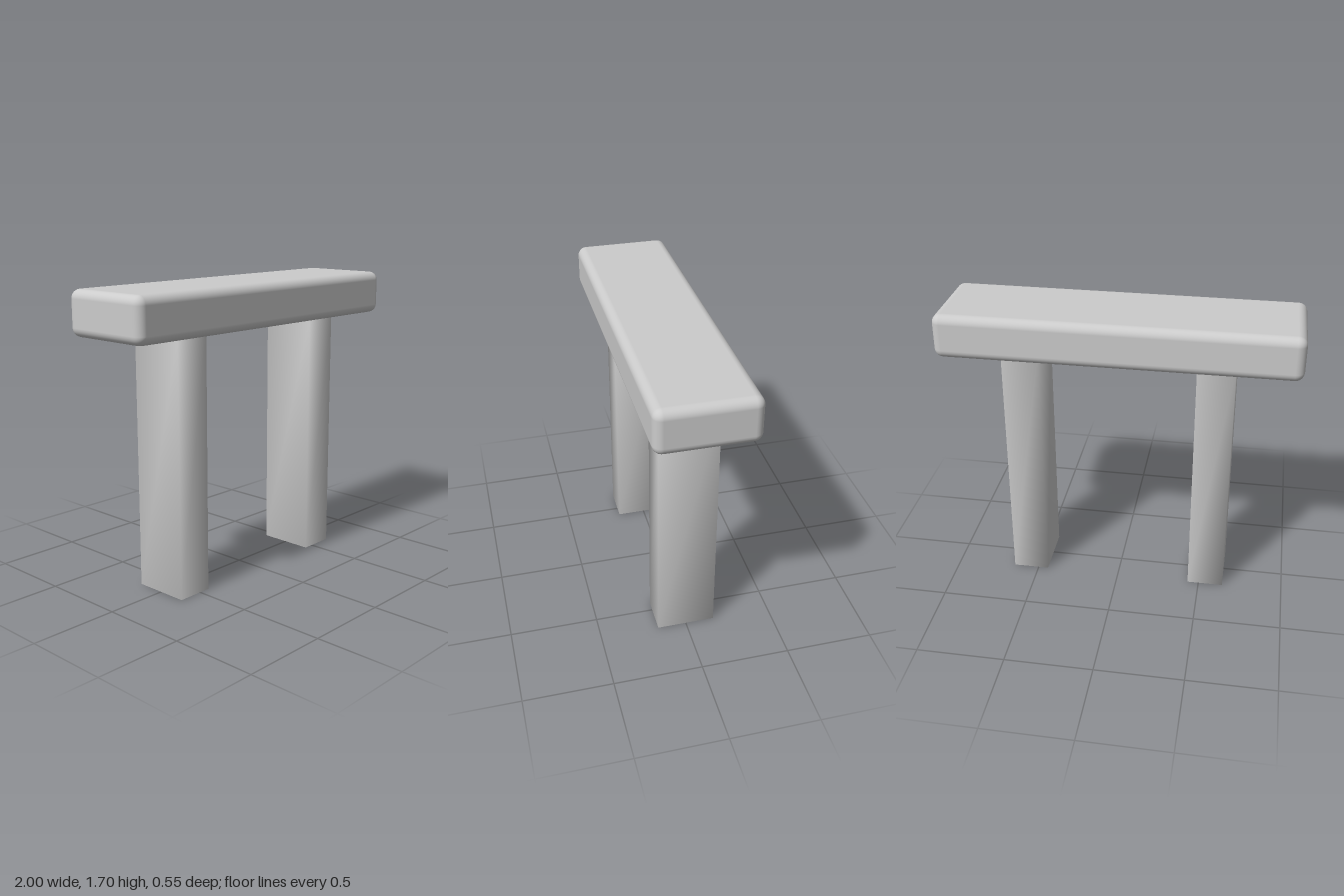
import * as THREE from 'three';
import { RoundedBoxGeometry } from 'three/addons/geometries/RoundedBoxGeometry.js';
import { mergeVertices } from 'three/addons/utils/BufferGeometryUtils.js';

// Box whose corners share one normal, so shading flows across its edges
function smoothBox(w, h, d) {
  const geo = new THREE.BoxGeometry(w, h, d);
  geo.deleteAttribute('normal');
  geo.deleteAttribute('uv');
  const merged = mergeVertices(geo);
  merged.computeVertexNormals();
  return merged;
}

export function createModel() {
  const group = new THREE.Group();
  group.name = 'bench';
  const material = new THREE.MeshStandardMaterial({ color: 0xcccccc });

  // Thick slab with rounded edges
  const seat = new THREE.Mesh(new RoundedBoxGeometry(2, 0.25, 0.546, 4, 0.05), material);
  seat.name = 'seat';
  seat.position.y = 1.575;
  group.add(seat);

  // Two upright slab legs, the tops sunk slightly into the seat
  const legHeight = 1.46;
  const legGeometry = smoothBox(0.21, legHeight, 0.33);
  for (const [name, x] of [['leftLeg', 0.546], ['rightLeg', -0.539]]) {
    const leg = new THREE.Mesh(legGeometry, material);
    leg.name = name;
    leg.position.set(x, legHeight / 2, 0);
    group.add(leg);
  }
  return group;
}
